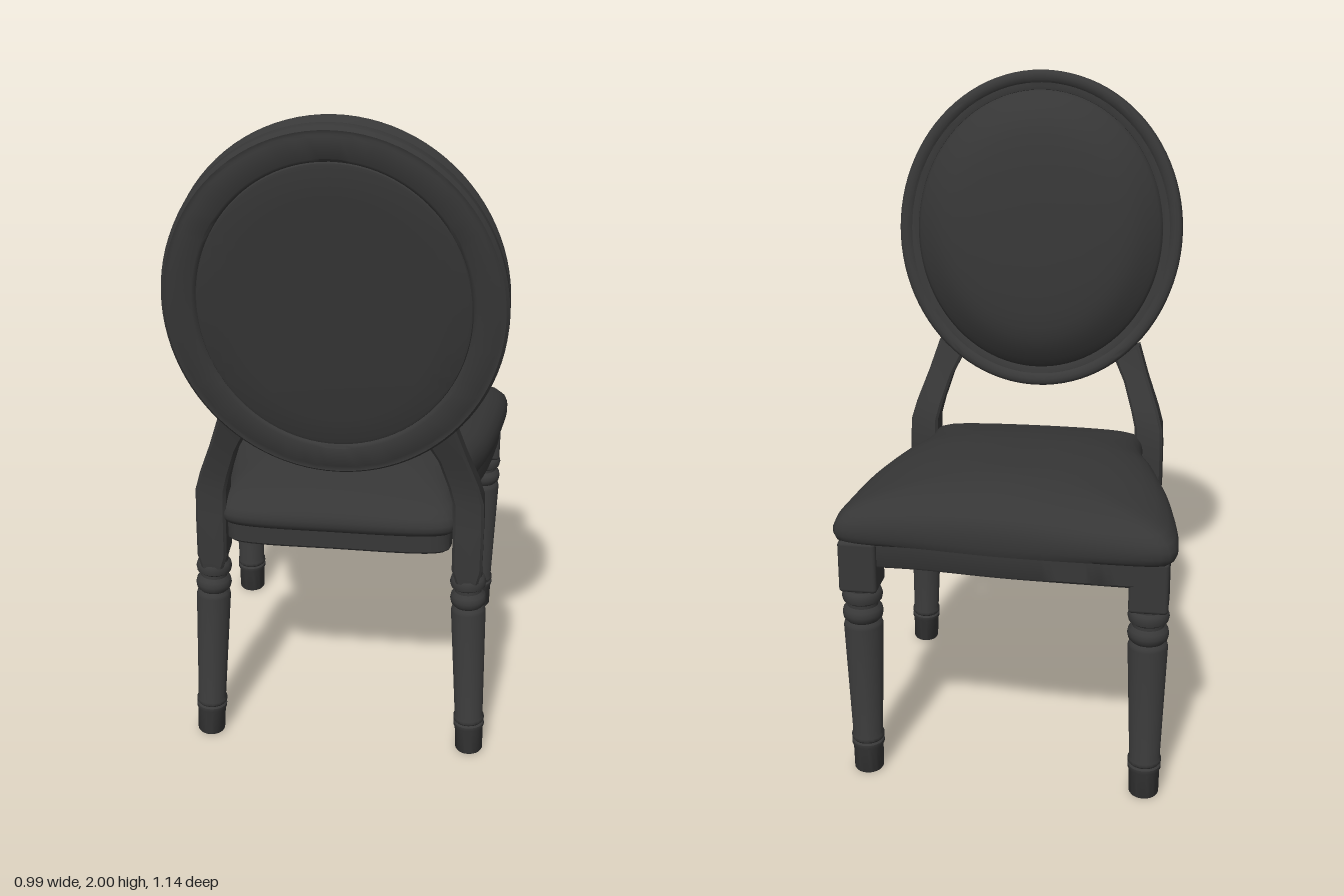
import * as THREE from 'three';
import { toCreasedNormals } from 'three/addons/utils/BufferGeometryUtils.js';
import { RoundedBoxGeometry } from 'three/addons/geometries/RoundedBoxGeometry.js';

const material = (name, color) => Object.assign(new THREE.MeshStandardMaterial({ color }), { name });

// Skin between closed cross-sections (arrays of [x, y, z] with equal counts)
function loft(rings, crease) {
  const n = rings[0].length, index = [];
  for (let i = 0; i < rings.length - 1; i++) {
    for (let j = 0; j < n; j++) {
      const k = (j + 1) % n, a = i * n + j, b = i * n + k;
      index.push(a, b, a + n, b, b + n, a + n);
    }
  }
  const geo = new THREE.BufferGeometry();
  geo.setAttribute('position', new THREE.Float32BufferAttribute(rings.flat(2), 3));
  geo.setIndex(index);
  return toCreasedNormals(geo, crease);
}

// Seat plan: wide front, waisted sides, narrow rear
const seatPlan = new THREE.CatmullRomCurve3([
  [0.40, 0.02], [0.446, -0.13], [0.477, -0.3], [0.493, -0.47], [0.483, -0.517], [0.44, -0.531],
  [0.25, -0.535], [0, -0.557], [-0.25, -0.565], [-0.44, -0.565], [-0.48, -0.554], [-0.495, -0.515],
  [-0.482, -0.35], [-0.45, -0.18], [-0.40, 0], [-0.36, 0.13], [-0.345, 0.25], [-0.335, 0.37],
  [-0.30, 0.395], [0, 0.405], [0.32, 0.395], [0.358, 0.37], [0.363, 0.25], [0.373, 0.13],
].map(([x, z]) => new THREE.Vector3(x, 0, z)), true, 'centripetal').getSpacedPoints(140).slice(0, -1);

// Rings of the seat plan shrunk about a centre: profile of [scale, y]
const seatLoft = (profile, cz) => loft(profile.map(([s, y]) =>
  seatPlan.map((p) => [p.x * s, y, cz + (p.z - cz) * s])), 0.6);

// Cushion rings ease from the plan to an oval towards the crown, which sits forward and falls to the rear
const CROWN = -0.3;
const cushionLoft = (profile) => loft(profile.map(([s, y]) => seatPlan.map((p) => {
  const a = Math.atan2((p.z + 0.08) / 0.475, p.x / 0.43), w = s ** 3;
  const x = s * THREE.MathUtils.lerp(0.43 * Math.cos(a), p.x, w);
  const z = CROWN + s * (THREE.MathUtils.lerp(-0.08 + 0.475 * Math.sin(a), p.z, w) - CROWN);
  return [x, y - Math.max(0, z) * (0.025 + 0.55 * Math.max(0, y - 0.77)), z];
})), 1);

// Rings of the oval back: profile of [inset, z]; an inset of HALF_H closes at the centre
const HALF_W = 0.466, HALF_H = 0.514;
const ovalLoft = (profile, crease) => loft(profile.map(([d, z]) =>
  Array.from({ length: 96 }, (_, j) => {
    const t = (j / 96) * Math.PI * 2, ry = HALF_H - d;
    const rx = d < 0.1 ? HALF_W - d : ry * (HALF_W - 0.1) / (HALF_H - 0.1);
    return [Math.cos(t) * rx, Math.sin(t) * ry, z];
  })), crease);

// Turned leg with its foot at the origin, from foot and shaft radii
const turnedLeg = (foot, low, high) => toCreasedNormals(new THREE.LatheGeometry([
  [0, 0], [foot - 0.004, 0], [foot - 0.001, 0.005], [foot, 0.08], [foot + 0.004, 0.087], [foot + 0.004, 0.097],
  [foot - 0.001, 0.102], [foot + 0.004, 0.108], [foot + 0.004, 0.118], [low, 0.125], [high, 0.485],
  [high - 0.003, 0.495], [high - 0.01, 0.502], [high - 0.001, 0.512], [high + 0.002, 0.526], [high - 0.001, 0.54],
  [high - 0.012, 0.55], [high - 0.012, 0.56], [high - 0.001, 0.568], [high + 0.002, 0.582], [high - 0.002, 0.596],
  [high - 0.01, 0.602], [high - 0.01, 0.63],
].map(([r, y]) => new THREE.Vector2(r, y)), 32), 0.7);

export function createModel() {
  const chair = new THREE.Group();
  chair.name = 'chair';
  const wood = material('frame charcoal', 0x383838);
  const fabric = material('upholstery charcoal', 0x363636);
  const lining = material('lining black', 0x1e1e1e);
  const add = (parent, name, geo, mat) => {
    const mesh = new THREE.Mesh(geo, mat);
    mesh.name = name;
    parent.add(mesh);
    return mesh;
  };

  // Seat cushion, rail and underside
  add(chair, 'seatCushion', cushionLoft([
    [0.95, 0.758], [0.985, 0.76], [0.995, 0.77], [1, 0.783], [1, 0.803], [0.99, 0.825],
    [0.965, 0.847], [0.92, 0.866], [0.85, 0.882], [0.75, 0.898], [0.63, 0.911], [0.5, 0.921],
    [0.33, 0.931], [0.15, 0.936], [0, 0.937],
  ]), fabric);
  add(chair, 'seatRail', seatLoft([
    [0.86, 0.76], [0.86, 0.685], [0.945, 0.685], [0.955, 0.692], [0.955, 0.76],
  ], -0.08), wood);
  add(chair, 'seatLining', seatLoft([[0, 0.745], [0.87, 0.745]], -0.08), lining);

  // Front legs with square corner blocks
  const frontLegGeo = turnedLeg(0.045, 0.045, 0.058);
  for (const [name, x, z] of [['frontLegLeft', 0.419, -0.473], ['frontLegRight', -0.419, -0.489]]) {
    const leg = new THREE.Group();
    leg.name = name;
    leg.position.set(x, 0, z);
    add(leg, 'turnedLeg', frontLegGeo, wood);
    add(leg, 'cornerBlock', new RoundedBoxGeometry(0.112, 0.16, 0.112, 3, 0.012), wood).position.y = 0.686;
    chair.add(leg);
  }

  // Rear legs and the arms that carry the back, mirrored about the back's own centre
  const back = new THREE.Group();
  back.name = 'backAssembly';
  back.position.x = 0.0165;
  chair.add(back);
  const rearLegGeo = turnedLeg(0.043, 0.043, 0.052);
  // [y, inner x, outer x, front z, rear z, drop of the inner edge]
  const armSections = [
    [0.595, 0.349, 0.415, 0.302, 0.388, 0], [0.64, 0.336, 0.425, 0.293, 0.39, 0],
    [0.78, 0.335, 0.425, 0.29, 0.386, 0], [0.86, 0.332, 0.422, 0.295, 0.386, 0],
    [0.92, 0.318, 0.405, 0.31, 0.392, 0.005], [1.02, 0.289, 0.368, 0.343, 0.413, 0.015],
    [1.12, 0.256, 0.335, 0.37, 0.44, 0.05],
  ];
  for (const side of [1, -1]) {
    const label = side > 0 ? 'Left' : 'Right';
    const leg = add(back, 'rearLeg' + label, rearLegGeo, wood);
    leg.position.set(side * 0.408, 0.003, 0.377);
    leg.rotation.set(-0.062, 0, side * 0.04);
    const rings = armSections.map(([y, xi, xo, zf, zr, drop]) => {
      const c = 0.008;
      const placed = [
        [xo, zr - c], [xo, zf + c], [xo - c, zf], [xi + c, zf], [xi, zf + c], [xi, zr - c], [xi + c, zr], [xo - c, zr],
      ].map(([x, z]) => [side * x, y - drop * (xo - x) / (xo - xi), z]);
      return side > 0 ? placed : placed.reverse();
    });
    const cap = (ring) => {
      const middle = [0, 1, 2].map((k) => ring.reduce((sum, p) => sum + p[k], 0) / ring.length);
      return ring.map(() => middle);
    };
    add(back, 'backArm' + label, loft([cap(rings[0]), ...rings, cap(rings.at(-1))], 0.5), wood);
  }

  // Tilted oval back: coved frame, domed cushion in front, flat panel behind
  const oval = new THREE.Group();
  oval.name = 'ovalBack';
  oval.position.set(0.004, 1.478, 0.507);
  oval.rotation.x = 0.123;
  back.add(oval);
  add(oval, 'ovalFrame', ovalLoft([
    [0.07, -0.075], [0.062, -0.088], [0.052, -0.091], [0.04, -0.091], [0.034, -0.097], [0.022, -0.101], [0.01, -0.1],
    [0.002, -0.094], [0, -0.087], [0.003, -0.08], [0.011, -0.074], [0.016, -0.065], [0.016, -0.052], [0.011, -0.043],
    [0.002, -0.037], [0, -0.028], [0.001, -0.01], [0.01, -0.001], [0.02, -0.003], [0.026, 0], [0.085, 0],
    [0.093, -0.004], [0.098, -0.015],
  ], 0.7), wood);
  add(oval, 'backCushion', ovalLoft([
    [HALF_H, -0.189], [0.42, -0.188], [0.33, -0.185], [0.25, -0.178], [0.2, -0.17], [0.165, -0.16],
    [0.135, -0.146], [0.11, -0.13], [0.09, -0.115], [0.072, -0.1], [0.063, -0.09], [0.062, -0.075],
  ], 0.9), fabric);
  add(oval, 'backPanel', ovalLoft([
    [0.093, -0.014], [0.098, -0.005], [0.107, -0.002], [0.19, 0], [HALF_H, 0.001],
  ], 0.6), fabric);

  return chair;
}
